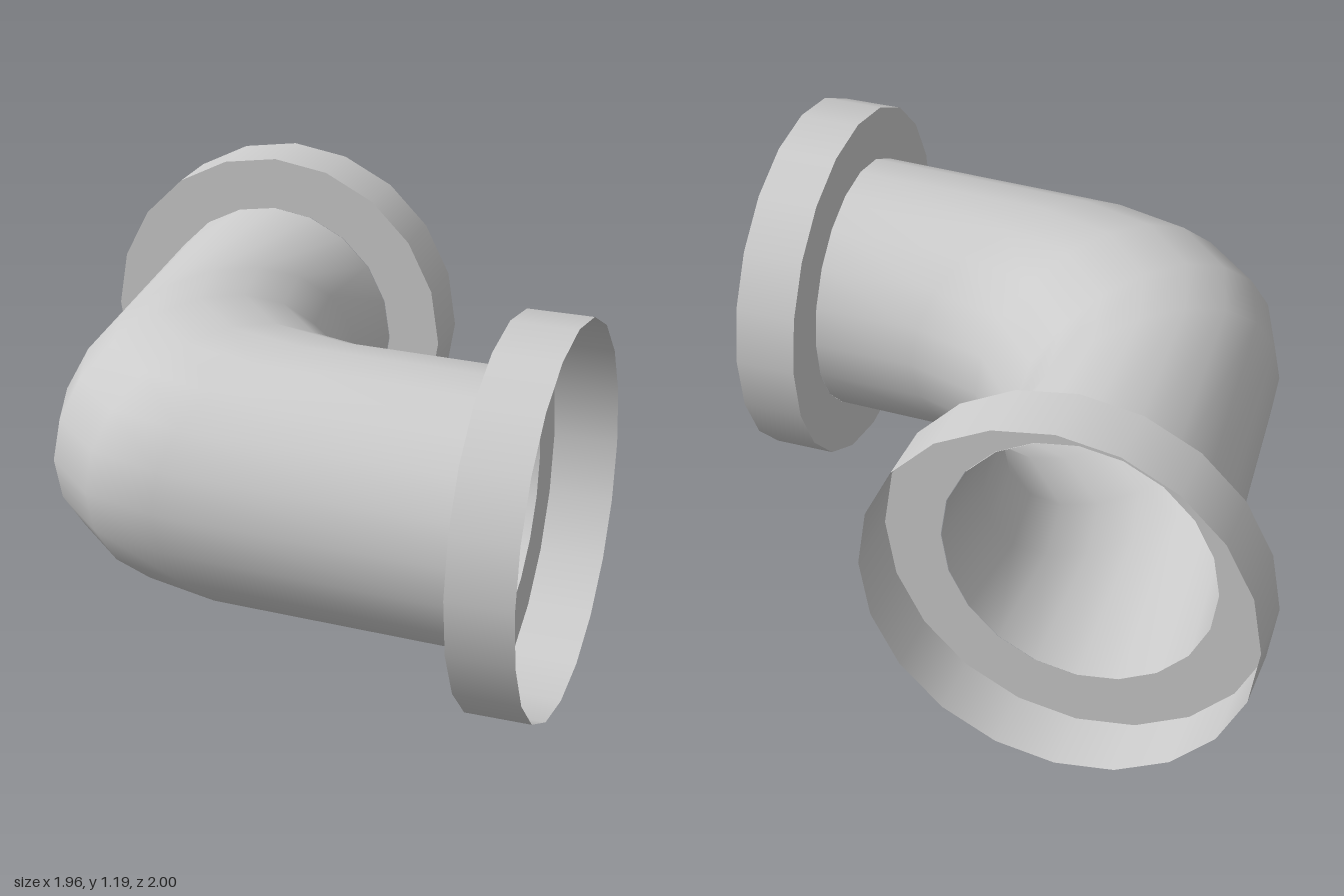
import * as THREE from 'three';

const SIDES = 20;
const AXIS_Y = 0.597;
const PIPE_R = 0.42;
const FLANGE_R = 0.595;
const FLANGE_DEPTH = 0.2;

const material = new THREE.MeshStandardMaterial({ color: 0xcccccc, side: THREE.DoubleSide });

// Skin of the elbow: each section is an ellipse spanning an outer and an inner [x, z] point
function elbowGeometry(sections) {
  const positions = [];
  const index = [];
  sections.forEach(([ox, oz, ix, iz], s) => {
    for (let i = 0; i < SIDES; i++) {
      const a = (i / SIDES) * Math.PI * 2;
      const t = (1 + Math.cos(a)) / 2;
      positions.push(
        THREE.MathUtils.lerp(ix, ox, t),
        AXIS_Y + PIPE_R * Math.sin(a),
        THREE.MathUtils.lerp(iz, oz, t)
      );
      if (s === 0) continue;
      const j = (i + 1) % SIDES;
      const p = (s - 1) * SIDES;
      const q = s * SIDES;
      index.push(p + i, q + i, p + j, p + j, q + i, q + j);
    }
  });
  const geometry = new THREE.BufferGeometry();
  geometry.setAttribute('position', new THREE.Float32BufferAttribute(positions, 3));
  geometry.setIndex(index);
  geometry.computeVertexNormals();
  return geometry;
}

// Open collar: a flat shoulder round the pipe end and a rim wall standing out along +z
function createFlange(name) {
  const flange = new THREE.Group();
  flange.name = name;

  const shoulder = new THREE.Mesh(new THREE.RingGeometry(PIPE_R, FLANGE_R, SIDES), material);
  shoulder.name = 'flangeShoulder';

  const wall = new THREE.CylinderGeometry(FLANGE_R, FLANGE_R, FLANGE_DEPTH, SIDES, 1, true);
  wall.rotateX(Math.PI / 2).translate(0, 0, FLANGE_DEPTH / 2);
  const rim = new THREE.Mesh(wall, material);
  rim.name = 'flangeRim';

  flange.add(shoulder, rim);
  return flange;
}

export function createModel() {
  const model = new THREE.Group();
  model.name = 'pipeElbow';

  // Bent pipe, from the back opening round to the left opening
  const elbow = new THREE.Mesh(
    elbowGeometry([
      [-0.81, -0.8, 0.03, -0.8],
      [-0.695, 0.3, -0.01, -0.57],
      [-0.61, 0.53, 0.02, -0.31],
      [-0.42, 0.71, 0.19, -0.1],
      [-0.18, 0.78, 0.44, -0.02],
      [0.775, 0.823, 0.775, -0.015],
    ]),
    material
  );
  elbow.name = 'elbowPipe';
  model.add(elbow);

  // Collars at both openings
  const backFlange = createFlange('backFlange');
  backFlange.position.set(-0.388, AXIS_Y, -0.8);
  backFlange.rotation.y = Math.PI;

  const leftFlange = createFlange('leftFlange');
  leftFlange.position.set(0.775, AXIS_Y, 0.404);
  leftFlange.rotation.y = Math.PI / 2;

  model.add(backFlange, leftFlange);
  return model;
}
